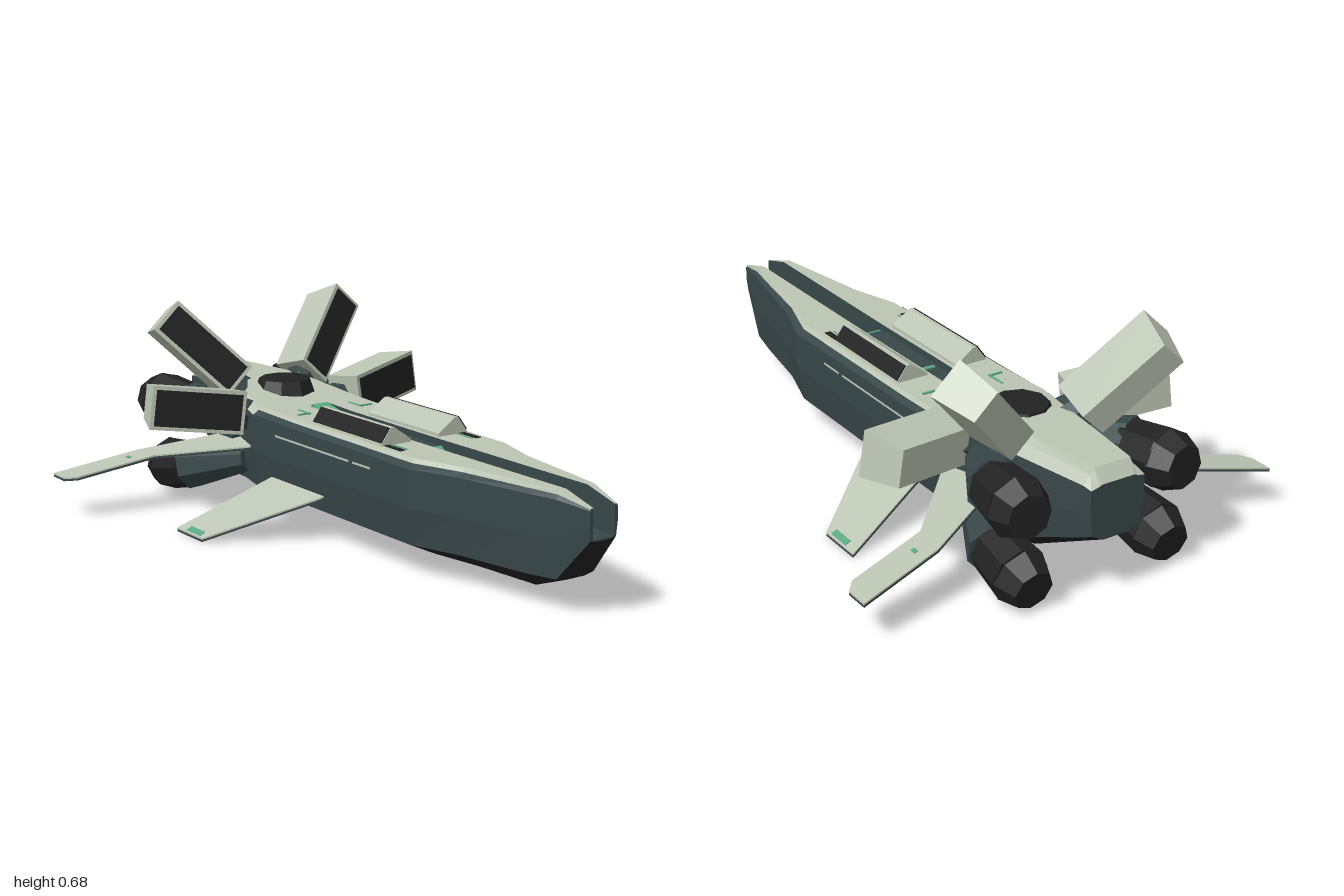
import * as THREE from 'three';

const mat = (name, color, side = THREE.FrontSide) =>
  Object.assign(new THREE.MeshStandardMaterial({ color, flatShading: true, side }), { name });

export function createModel() {
  const root = new THREE.Group();
  root.name = 'spaceship';
  const light = mat('pale grey green', 0xbcc5b4);
  const teal = mat('dark slate', 0x384749);
  const black = mat('near black', 0x222222);
  const green = mat('marking green', 0x58a884);

  const add = (name, geo, material, parent = root) => {
    const m = new THREE.Mesh(geo, material);
    m.name = name;
    parent.add(m);
    return m;
  };
  const box = (name, w, h, d, x, y, z, material, parent) => {
    const m = add(name, new THREE.BoxGeometry(w, h, d), material, parent);
    m.position.set(x, y, z);
    return m;
  };
  // tapered prism running from a to b
  const prism = (name, a, b, ra, rb, sides, material) => {
    const A = new THREE.Vector3(...a), B = new THREE.Vector3(...b);
    const dir = B.clone().sub(A);
    const m = add(name, new THREE.CylinderGeometry(rb, ra, dir.length(), sides), material);
    m.position.copy(A).add(B).multiplyScalar(0.5);
    m.quaternion.setFromUnitVectors(new THREE.Vector3(0, 1, 0), dir.normalize());
    return m;
  };

  // Hull sections: z, plate half width, half width, top, shoulder, low edge, bottom, groove floor
  const sections = [
    [1.0, 0.046, 0.05, 0.325, 0.318, 0.235, 0.23, 0.235],
    [0.89, 0.062, 0.075, 0.355, 0.33, 0.105, 0.098, 0.24],
    [0.78, 0.08, 0.098, 0.355, 0.33, 0.10, 0.058, 0.25],
    [0.55, 0.115, 0.142, 0.355, 0.33, 0.10, 0.058, 0.26],
    [0.38, 0.165, 0.2, 0.355, 0.33, 0.10, 0.058, 0.265],
    [0.35, 0.165, 0.2, 0.355, 0.33, 0.10, 0.058, 0.268],
    [0.25, 0.167, 0.2, 0.355, 0.333, 0.10, 0.058, 0.335],
    [-0.22, 0.17, 0.2, 0.358, 0.337, 0.10, 0.058, 0.335],
    [-0.35, 0.17, 0.2, 0.362, 0.34, 0.10, 0.058, 0.361],
    [-0.43, 0.17, 0.2, 0.366, 0.34, 0.10, 0.058, 0.366],
    [-0.62, 0.10, 0.15, 0.41, 0.36, 0.10, 0.058, 0.41],
    [-0.72, 0.09, 0.137, 0.41, 0.362, 0.10, 0.058, 0.41],
    [-0.97, 0.06, 0.094, 0.41, 0.365, 0.205, 0.185, 0.41],
    [-1.0, 0.055, 0.09, 0.37, 0.36, 0.22, 0.2, 0.37],
  ];
  const profile = ([z, tx, w, top, sh, low, bot, gf]) => [
    [0, gf], [0.038, gf], [0.038, top], [tx, top], [tx + (w - tx) * 0.3, top - (top - sh) * 0.5],
    [w, sh], [w, low + (sh - low) * 0.5], [w * 0.9, low], [w * 0.45, bot], [0, bot],
  ].map(([x, y]) => [x, y, z]);
  const rings = sections.map(profile);
  const strips = new Map([[teal, []], [light, []], [black, []]]);
  const stripMat = (k, z) => {
    if (k < 2) return z < -0.3 ? light : teal;
    if (k < 4) return light;
    if (k === 4) return z < -0.4 ? light : teal;
    return k < 7 ? teal : black;
  };
  for (let i = 0; i < rings.length - 1; i++) {
    for (let k = 0; k < 9; k++) {
      const out = strips.get(stripMat(k, sections[i][0]));
      const q = [rings[i][k], rings[i][k + 1], rings[i + 1][k + 1], rings[i + 1][k]];
      for (const s of [1, -1]) {
        const order = s > 0 ? [0, 1, 2, 0, 2, 3] : [0, 2, 1, 0, 3, 2];
        for (const j of order) out.push(s * q[j][0], q[j][1], q[j][2]);
      }
    }
  }
  for (const [material, list] of strips) {
    const g = new THREE.BufferGeometry();
    g.setAttribute('position', new THREE.Float32BufferAttribute(list, 3));
    g.computeVertexNormals();
    add('hull ' + material.name, g, material);
  }
  // nose and tail caps
  [[0, 'noseCap', 1], [rings.length - 1, 'tailCap', -1]].forEach(([i, name, dir]) => {
    const half = rings[i].slice(1, 9);
    const pts = [...half, ...half.slice().reverse().map(([x, y]) => [-x, y])];
    const cap = add(name, new THREE.ShapeGeometry(
      new THREE.Shape(pts.map(([x, y]) => new THREE.Vector2(dir * x, y)))), teal);
    cap.position.z = dir;
    if (dir < 0) cap.rotation.y = Math.PI;
  });

  // green panels lying on the sloped parts of the centre channel
  const slope = (name, z0, y0, z1, y1, w) => {
    const m = box(name, w, 0.005, Math.hypot(z1 - z0, y1 - y0), 0,
      (y0 + y1) / 2 + 0.003, (z0 + z1) / 2, green);
    m.rotation.x = Math.atan2(y1 - y0, z0 - z1);
  };
  slope('channelWindow', 0.35, 0.268, 0.25, 0.335, 0.06);
  slope('rearChannelPanel', -0.22, 0.335, -0.35, 0.361, 0.06);
  box('channelMark', 0.05, 0.004, 0.015, 0, 0.337, -0.07, green);

  // dark dome plate on the back
  const dome = add('domePlate', new THREE.CylinderGeometry(0.085, 0.105, 0.055, 9), black);
  dome.position.set(0, 0.39, -0.55);

  // thin slab in plan (x, z), sloping in y with distance from the centre
  const slab = (name, s, pts, y0, rise, thick, material) => {
    const g = new THREE.ExtrudeGeometry(
      new THREE.Shape(pts.map(([x, z]) => new THREE.Vector2(s * x, -z))),
      { depth: thick, bevelEnabled: false });
    g.rotateX(-Math.PI / 2);
    const p = g.attributes.position;
    for (let i = 0; i < p.count; i++) p.setY(i, p.getY(i) + y0 + rise * Math.abs(p.getX(i)));
    g.computeVertexNormals();
    add(name, g, material);
  };

  // radial pod: c is the centre of the front face, r points outward
  const pod = (name, s, c, r, len, width, depth) => {
    const X = new THREE.Vector3(s * r[0], r[1], r[2]).normalize();
    const Z = new THREE.Vector3(0, 0, 1).addScaledVector(X, -X.z).normalize();
    const Y = Z.clone().cross(X);
    const grp = new THREE.Group();
    grp.name = name;
    grp.quaternion.setFromRotationMatrix(new THREE.Matrix4().makeBasis(X, Y, Z));
    grp.position.set(s * c[0], c[1], c[2]);
    root.add(grp);
    const g = new THREE.BoxGeometry(len, width, depth).translate(0, 0, -depth / 2);
    const p = g.attributes.position;
    for (let i = 0; i < p.count; i++) {
      if (p.getZ(i) < -0.01) p.setXY(i, p.getX(i) * 0.93, p.getY(i) * 0.8);
    }
    add('podShell', g, light, grp);
    box('podIntake', len - 0.025, width - 0.025, 0.006, 0, 0, 0.002, black, grp);
  };

  const upperWing = [[0.16, -0.44], [0.2, -0.46], [0.42, -0.68], [0.67, -0.735], [0.7, -0.77],
    [0.7, -0.845], [0.43, -0.785], [0.2, -0.67], [0.1, -0.64]];
  const lowerWing = [[0.17, -0.04], [0.2, -0.055], [0.485, -0.28], [0.485, -0.43], [0.2, -0.345], [0.17, -0.335]];
  const rect = (x0, x1, z0, z1) => [[x0, z0], [x1, z0], [x1, z1], [x0, z1]];

  for (const s of [1, -1]) {
    const side = s > 0 ? 'left' : 'right';

    // wedge housing on the deck: light inner slope, dark outer slope
    const wedge = new THREE.ExtrudeGeometry(new THREE.Shape(
      [[0.052, 0.35], [0.16, 0.35], [0.158, 0.362], [0.125, 0.407], [0.112, 0.407], [0.052, 0.365]]
        .map(([x, y]) => new THREE.Vector2(s * x, y))), { depth: 0.36, bevelEnabled: false });
    add(side + 'DeckHousing', wedge, light).position.z = -0.15;
    const vent = box(side + 'DeckVent', 0.052, 0.006, 0.355, s * 0.143, 0.385, 0.03, black);
    vent.rotation.z = -s * Math.atan2(0.045, 0.033);

    // wings: pale skin above, dark skin below
    slab(side + 'UpperWing', s, upperWing, 0.263, -0.186, 0.005, light);
    slab(side + 'UpperWingUnderside', s, upperWing, 0.256, -0.186, 0.007, teal);
    slab(side + 'UpperWingMark', s, rect(0.475, 0.487, -0.755, -0.735), 0.268, -0.186, 0.002, green);
    slab(side + 'LowerWing', s, lowerWing, 0.236, -0.465, 0.005, light);
    slab(side + 'LowerWingUnderside', s, lowerWing, 0.229, -0.465, 0.007, teal);
    slab(side + 'LowerWingMark', s, rect(0.462, 0.48, -0.38, -0.3), 0.241, -0.465, 0.002, green);

    // radial pods and their arms
    pod(side + 'UpperPod', s, [0.25, 0.527, -0.645], [0.215, 0.23, -0.11], 0.325, 0.125, 0.145);
    pod(side + 'LowerPod', s, [0.366, 0.365, -0.485], [0.29, 0.04, -0.085], 0.305, 0.14, 0.135);
    prism(side + 'UpperPodArm', [s * 0.09, 0.35, -0.63], [s * 0.18, 0.44, -0.69], 0.055, 0.04, 6, teal);
    prism(side + 'LowerPodArm', [s * 0.13, 0.31, -0.53], [s * 0.27, 0.35, -0.53], 0.06, 0.045, 6, teal);
    prism(side + 'SideHub', [s * 0.13, 0.25, -0.64], [s * 0.19, 0.25, -0.64], 0.08, 0.07, 8, teal);

    // engines: dark cowling then black nozzle
    prism(side + 'UpperCowl', [s * 0.14, 0.29, -0.56], [s * 0.235, 0.31, -0.77], 0.05, 0.085, 8, teal);
    prism(side + 'UpperNozzle', [s * 0.232, 0.31, -0.76], [s * 0.255, 0.315, -0.9], 0.08, 0.093, 8, black);
    prism(side + 'UpperNozzleTip', [s * 0.255, 0.315, -0.9], [s * 0.262, 0.317, -0.965], 0.093, 0.065, 8, black);
    prism(side + 'LowerCowl', [s * 0.15, 0.17, -0.54], [s * 0.23, 0.115, -0.77], 0.045, 0.085, 8, teal);
    prism(side + 'LowerNozzle', [s * 0.228, 0.117, -0.76], [s * 0.235, 0.095, -0.89], 0.078, 0.088, 8, black);
    prism(side + 'LowerNozzleTip', [s * 0.235, 0.095, -0.89], [s * 0.235, 0.08, -0.955], 0.088, 0.062, 8, black);

    // painted side lines and small deck marks
    box(side + 'SideLineLong', 0.003, 0.006, 0.4, s * 0.2, 0.295, -0.1, light);
    box(side + 'SideLineShort', 0.003, 0.006, 0.09, s * 0.2, 0.295, 0.165, light);
    box(side + 'DeckMarkLong', 0.006, 0.004, 0.07, s * 0.098, 0.361, -0.29, green);
    box(side + 'DeckMarkShort', 0.045, 0.004, 0.008, s * 0.118, 0.362, -0.26, green);
    box(side + 'DeckMarkFront', 0.006, 0.004, 0.07, s * 0.12, 0.355, 0.25, green);
    box(side + 'DeckSlot', 0.02, 0.004, 0.08, s * 0.14, 0.355, 0.25, black);
  }
  return root;
}
